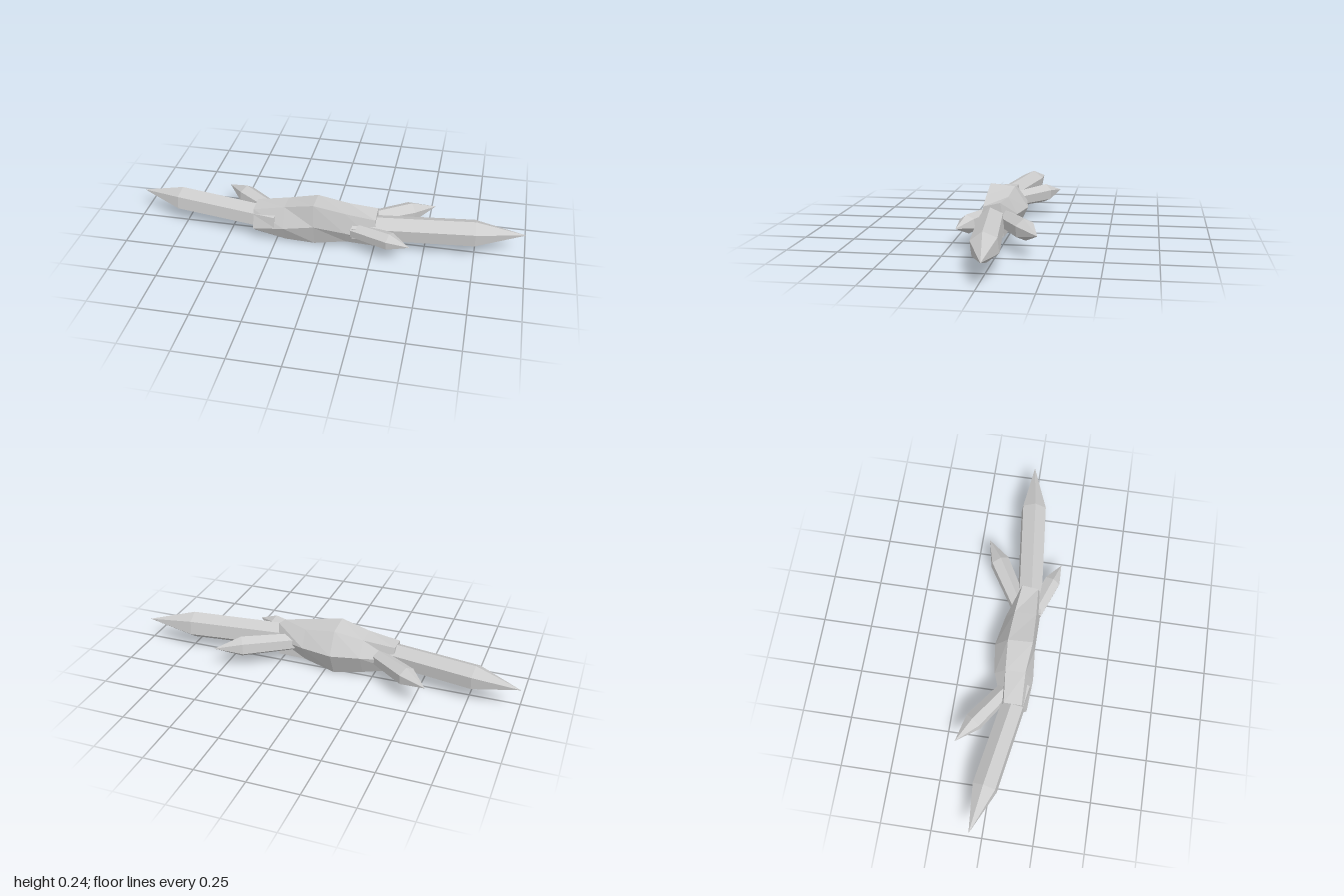
import * as THREE from 'three';

export function createModel() {
  const model = new THREE.Group();
  model.name = 'crystalCluster';
  const stone = new THREE.MeshStandardMaterial({ color: 0xcccccc, flatShading: true });
  stone.name = 'grey stone';

  // Flat-shaded skin over rings of points, capped at each end
  function loft(name, rings) {
    const pos = [];
    const tri = (a, b, c) => pos.push(...a, ...b, ...c);
    const centre = (r) => [0, 1, 2].map((k) => r.reduce((s, p) => s + p[k], 0) / r.length);
    const n = rings[0].length;
    const first = rings[0], last = rings[rings.length - 1];
    for (let j = 0; j < n; j++) {
      const k = (j + 1) % n;
      for (let i = 0; i < rings.length - 1; i++) {
        const a = rings[i], b = rings[i + 1];
        tri(a[j], a[k], b[k]);
        tri(a[j], b[k], b[j]);
      }
      tri(centre(first), first[k], first[j]);
      tri(centre(last), last[j], last[k]);
    }
    const geo = new THREE.BufferGeometry();
    geo.setAttribute('position', new THREE.Float32BufferAttribute(pos, 3));
    geo.computeVertexNormals();
    const mesh = new THREE.Mesh(geo, stone);
    mesh.name = name;
    model.add(mesh);
  }

  // Central body from left to right: x, then [z, y] for top front, top back, back,
  // bottom back, bottom front, front
  const sections = [
    [0.26, [0.095, 0.19], [0.012, 0.21], [-0.005, 0.125], [-0.004, 0.04], [0.088, 0.033], [0.118, 0.08]],
    [0.11, [0.105, 0.215], [-0.005, 0.21], [-0.052, 0.125], [-0.01, 0.04], [0.088, 0.04], [0.122, 0.11]],
    [-0.05, [0.11, 0.245], [-0.015, 0.233], [-0.083, 0.125], [-0.024, 0.002], [0.088, 0.008], [0.122, 0.125]],
    [-0.20, [0.095, 0.21], [-0.005, 0.205], [-0.06, 0.13], [-0.01, 0.025], [0.09, 0.015], [0.135, 0.105]],
    [-0.36, [0.10, 0.18], [0.01, 0.185], [0.0, 0.12], [0.015, 0.055], [0.09, 0.05], [0.125, 0.08]],
  ];
  loft('body', sections.map(([x, ...pts]) => pts.map(([z, y]) => [x, y, z])));

  // Six-sided crystal: prism from base to shoulder, then a pointed tip
  function crystal(name, base, shoulder, tip, radius, baseScale, turn) {
    const dir = new THREE.Vector3(tip[0] - base[0], 0, tip[1] - base[1]).normalize();
    const side = new THREE.Vector3(0, 1, 0).cross(dir);
    const y = 0.12;
    const ring = ([x, z], r) => Array.from({ length: 6 }, (_, i) => {
      const a = turn + (i * Math.PI) / 3;
      const s = Math.sin(a) * r;
      return [x - side.x * s, y + Math.cos(a) * r, z - side.z * s];
    });
    loft(name, [ring(base, radius * baseScale), ring(shoulder, radius), ring(tip, 0.0005)]);
  }

  crystal('rightLongCrystal', [-0.24, 0.075], [-0.775, -0.018], [-1.0, -0.06], 0.066, 0.95, 0.1);
  crystal('leftLongCrystal', [0.14, 0.065], [0.745, 0.003], [0.995, -0.025], 0.07, 0.95, 0.12);
  crystal('leftBackCrystal', [0.18, 0.01], [0.412, -0.128], [0.53, -0.2], 0.053, 0.85, 0.1);
  crystal('rightBackCrystal', [-0.27, 0.01], [-0.46, -0.125], [-0.57, -0.2], 0.05, 0.85, 0.1);
  crystal('leftFrontCrystal', [0.15, 0.09], [0.34, 0.157], [0.44, 0.193], 0.046, 0.9, 0.15);
  return model;
}
